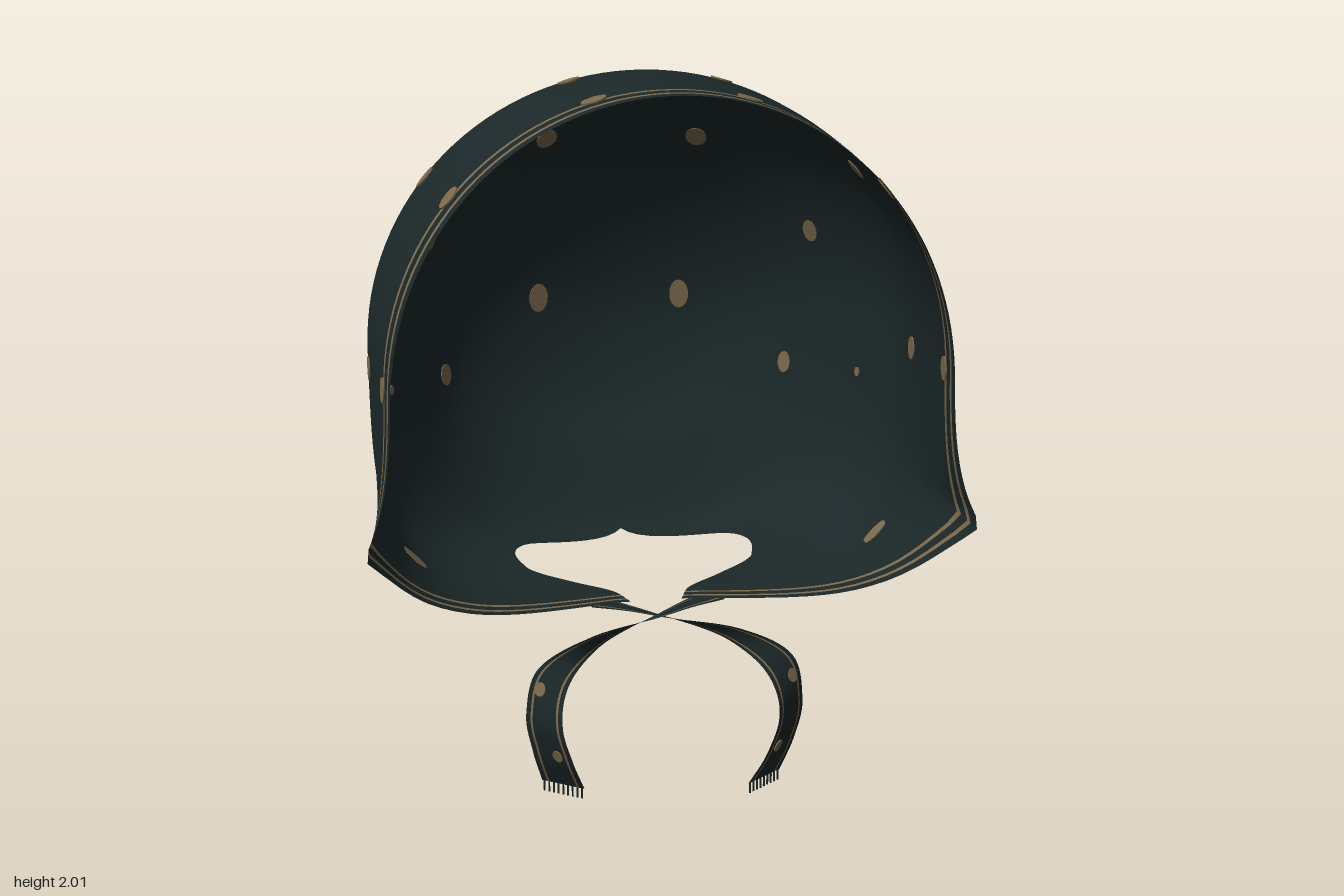
import * as THREE from 'three';
import { mergeVertices } from 'three/addons/utils/BufferGeometryUtils.js';

// Sections from face opening to back: z, top, half width, widest height, bottom, squareness below, half neck gap
const SECTIONS = [
  [0.595, 1.97, 0.73, 1.22, 0.565, 5, 0.06],
  [0.40, 1.985, 0.755, 1.24, 0.56, 4.6, 0.11],
  [0.20, 2.0, 0.772, 1.25, 0.555, 4.4, 0.22],
  [0.0, 2.0, 0.775, 1.25, 0.555, 4, 0.34],
  [-0.20, 1.93, 0.71, 1.24, 0.55, 3.5, 0.33],
  [-0.37, 1.78, 0.59, 1.22, 0.545, 2.7, 0],
  [-0.50, 1.6, 0.455, 1.2, 0.78, 2.2, 0],
  [-0.585, 1.4, 0.27, 1.2, 0.95, 2, 0],
  [-0.622, 1.2, 0, 1.2, 1.2, 2, 0],
  [-0.585, 1.0, -0.27, 1.2, 1.45, 2, 0], // mirrored end, keeps the back pole round
];

// Smooth interpolation between sections
function sectionAt(t) {
  const i = Math.min(Math.floor(t), 7), k = t - i;
  return SECTIONS[i].map((b, c) => {
    const d = SECTIONS[i + 1][c], e = SECTIONS[i + 2][c];
    const a = i ? SECTIONS[i - 1][c] : 2 * b - d;
    return b + 0.5 * k * (d - a + k * (2 * a - 5 * b + 4 * d - e + k * (3 * (b - d) + e - a)));
  });
}

// Point on the bonnet: t runs front to back, v from one neck edge over the top to the other
function bonnetPoint(t, v) {
  const [z0, top, w, yc, bottom, n, gapRaw] = sectionAt(t);
  const s = Math.abs(v), side = Math.sign(v);
  if (s <= 0.5) {
    const a = (0.5 - s) * Math.PI;
    const y = yc + (top - yc) * Math.sin(a);
    return flare(side, w * Math.cos(a), y, z0, false);
  }
  const g = w > 0.01 ? THREE.MathUtils.clamp(gapRaw / w, 0, 0.9) : 0;
  const end = Math.atan2(Math.pow(1 - Math.pow(g, n), 1 / n), g);
  const a = (s - 0.5) * 2 * end, c = Math.abs(Math.cos(a)), d = Math.sin(a);
  const r = Math.pow(Math.pow(c, n) + Math.pow(d, n), -1 / n);
  return flare(side, w * r * c, yc - (yc - bottom) * r * d, z0, true);
}

// Pointed cheek corners, and a front edge that sweeps back into sagging flaps under the chin
function flare(side, x, y, z, lower) {
  const k = THREE.MathUtils.clamp(z / 0.6, 0, 1);
  const bump = Math.exp(-Math.abs(y - 0.83) / 0.13);
  let dz = 0.03 * bump - 0.17 * THREE.MathUtils.clamp((0.81 - y) / 0.21, 0, 1);
  let sag = 0;
  if (lower) {
    const inward = THREE.MathUtils.clamp((0.55 - x) / 0.45, 0, 1);
    dz -= 0.17 * inward;
    sag = 0.03 * inward * k;
  }
  return [side * (x + 0.1 * bump * k * k), y - sag, z + dz * k];
}

// Grid surface; materialOf(row) picks the material index of each row
function gridSurface(rows, cols, point, materialOf) {
  const pos = [], idx = [], geo = new THREE.BufferGeometry();
  for (let i = 0; i <= rows; i++)
    for (let j = 0; j <= cols; j++) pos.push(...point(i, j));
  for (let i = 0; i < rows; i++) {
    geo.addGroup(idx.length, cols * 6, materialOf(i));
    for (let j = 0; j < cols; j++) {
      const a = i * (cols + 1) + j, b = a + cols + 1;
      idx.push(a, b, a + 1, a + 1, b, b + 1);
    }
  }
  geo.setAttribute('position', new THREE.Float32BufferAttribute(pos, 3));
  geo.setIndex(idx);
  const merged = mergeVertices(geo, 1e-4);
  merged.computeVertexNormals();
  return merged;
}

export function createModel() {
  const model = new THREE.Group();
  model.name = 'bonnet';
  const cloth = new THREE.MeshStandardMaterial({ name: 'dark teal cloth', color: 0x1b2728, side: THREE.DoubleSide });
  const tan = new THREE.MeshStandardMaterial({ name: 'tan print', color: 0x7a684b, side: THREE.DoubleSide });

  function add(name, geometry, material, parent = model) {
    const mesh = new THREE.Mesh(geometry, material);
    mesh.name = name;
    parent.add(mesh);
    return mesh;
  }

  // Shell with two printed stripes along the face opening
  const cols = 128;
  const shell = gridSurface(80, cols, (i, j) => bonnetPoint(i / 10, (j / cols) * 2 - 1),
    (i) => (i === 2 || i === 5 ? 1 : 0));
  add('shell', shell, [cloth, tan]);

  // Printed dots, laid flat on the nearest part of the shell
  const P = shell.attributes.position, N = shell.attributes.normal;
  const disc = new THREE.CylinderGeometry(1, 1, 1, 14).rotateX(Math.PI / 2);
  function addDot(x, y, z, rx = 0.029, ry = 0.034) {
    const target = new THREE.Vector3(x, y, z), p = new THREE.Vector3(), n = new THREE.Vector3();
    let best = 0, bestD = Infinity;
    for (let i = 0; i < P.count; i++) {
      const d = p.fromBufferAttribute(P, i).distanceToSquared(target);
      if (d < bestD) { bestD = d; best = i; }
    }
    p.fromBufferAttribute(P, best);
    n.fromBufferAttribute(N, best);
    target.addScaledVector(n, n.dot(p.sub(target)));
    const dot = add('dot', disc, tan);
    dot.position.copy(target);
    dot.lookAt(target.clone().add(n));
    dot.scale.set(rx, ry, 0.007);
  }
  for (const s of [-1, 1]) {
    addDot(s * 0.23, 1.26, -0.6, 0.031, 0.047);
    addDot(s * 0.235, 1.81, -0.35, 0.032, 0.036);
    addDot(s * 0.59, 1.5, -0.31, 0.024, 0.036);
    addDot(s * 0.53, 1.06, -0.41, 0.022, 0.034);
    addDot(s * 0.21, 1.97, 0.08, 0.031, 0.031);
    addDot(s * 0.59, 1.71, 0.075);
    addDot(s * 0.77, 1.21, 0.12);
    addDot(s * 0.2, 1.95, 0.472, 0.034, 0.034);
    addDot(s * 0.56, 1.71, 0.472, 0.034, 0.034);
    addDot(s * 0.74, 1.23, 0.472, 0.03, 0.034);
    addDot(s * 0.7, 0.64, 0.16, 0.022, 0.052);
    addDot(s * 0.75, 1.07, -0.21, 0.01, 0.015);
  }

  // Chin ties: centre line and width vectors, crossing under the chin
  const centre = new THREE.CatmullRomCurve3([
    [-0.2, 0.54, 0.23], [-0.1, 0.53, 0.28], [0, 0.515, 0.33], [0.2, 0.475, 0.41], [0.32, 0.39, 0.445],
    [0.348, 0.27, 0.465], [0.325, 0.15, 0.45], [0.29, 0.03, 0.4]].map((p) => new THREE.Vector3(...p)));
  const width = new THREE.CatmullRomCurve3([
    [0.02, 0, 0.14], [0.02, 0.01, 0.11], [0.02, 0.015, 0.08], [0.04, 0.04, 0.04], [0.085, 0.03, -0.04],
    [0.09, 0, -0.09], [0.1, 0, -0.09], [0.11, 0, -0.075]].map((p) => new THREE.Vector3(...p)));
  const across = [0, 0.12, 0.18, 0.82, 0.88, 1];
  for (const s of [-1, 1]) {
    const tie = new THREE.Group();
    tie.name = s > 0 ? 'leftTie' : 'rightTie';
    model.add(tie);
    const at = (u, f, drop = 0) => {
      const p = centre.getPoint(u).addScaledVector(width.getPoint(u), f - 0.5);
      return [s * p.x, p.y + (s < 0 ? 0.025 * u * u : 0) - drop, p.z];
    };
    add('ribbon', gridSurface(5, 60, (i, j) => at(j / 60, across[i]), (i) => i % 2), [cloth, tan], tie);

    // Frayed end
    for (let k = 0; k < 9; k++) {
      const thread = add('fringe', new THREE.BoxGeometry(0.005, 0.03, 0.004), cloth, tie);
      thread.position.set(...at(1, (k + 0.5) / 9, 0.015));
    }

    // Small printed marks on the ribbon
    for (const [u, f] of [[0.62, 0.7], [0.85, 0.35]]) {
      const mark = add('ribbonDot', disc, tan, tie);
      mark.position.set(...at(u, f));
      const n = width.getPoint(u).cross(centre.getTangent(u)).normalize();
      mark.lookAt(mark.position.clone().add(new THREE.Vector3(s * n.x, n.y, n.z)));
      mark.scale.set(0.016, 0.02, 0.007);
    }
  }
  return model;
}
